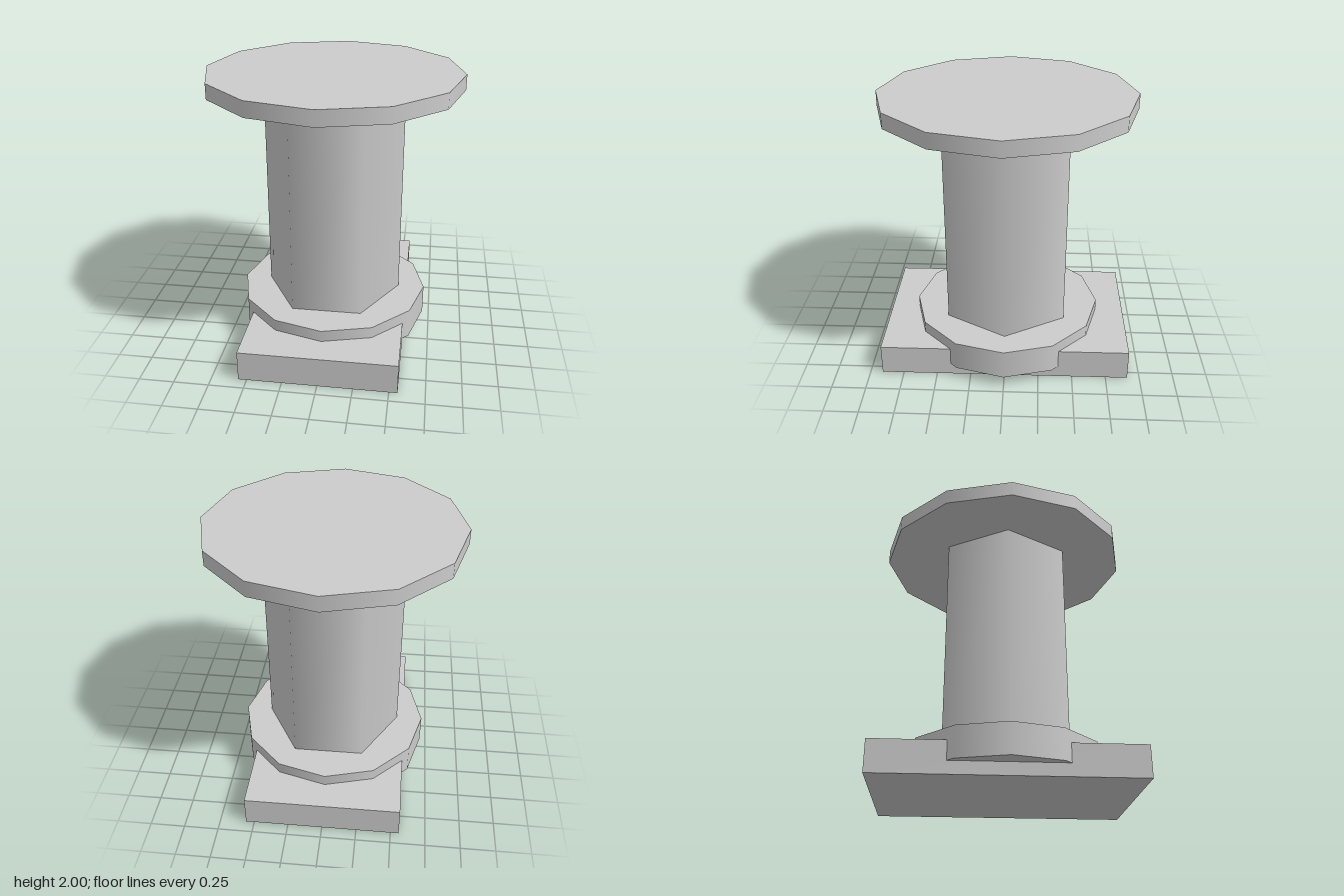
import * as THREE from 'three';

export function createModel() {
  const group = new THREE.Group();
  const grey = new THREE.MeshStandardMaterial({ color: 0xcccccc });
  grey.name = 'light grey';

  const add = (name, geometry, bottom, top) => {
    const mesh = new THREE.Mesh(geometry, grey);
    mesh.name = name;
    mesh.position.y = (bottom + top) / 2;
    group.add(mesh);
  };

  // Smooth-shaded prism with a corner on the x axis
  const addPrism = (name, radius, sides, bottom, top) =>
    add(name, new THREE.CylinderGeometry(radius, radius, top - bottom, sides, 1, false, Math.PI / 2), bottom, top);

  // Rectangular foot, longest from front to back
  add('basePlate', new THREE.BoxGeometry(1.12, 0.225, 1.82), 0, 0.225);

  // Twelve-sided collar, six-sided column and twelve-sided top
  addPrism('collar', 0.7, 12, 0.09, 0.31);
  addPrism('column', 0.505, 6, 0.31, 1.89);
  addPrism('topDisc', 0.91, 12, 1.89, 2);

  return group;
}
